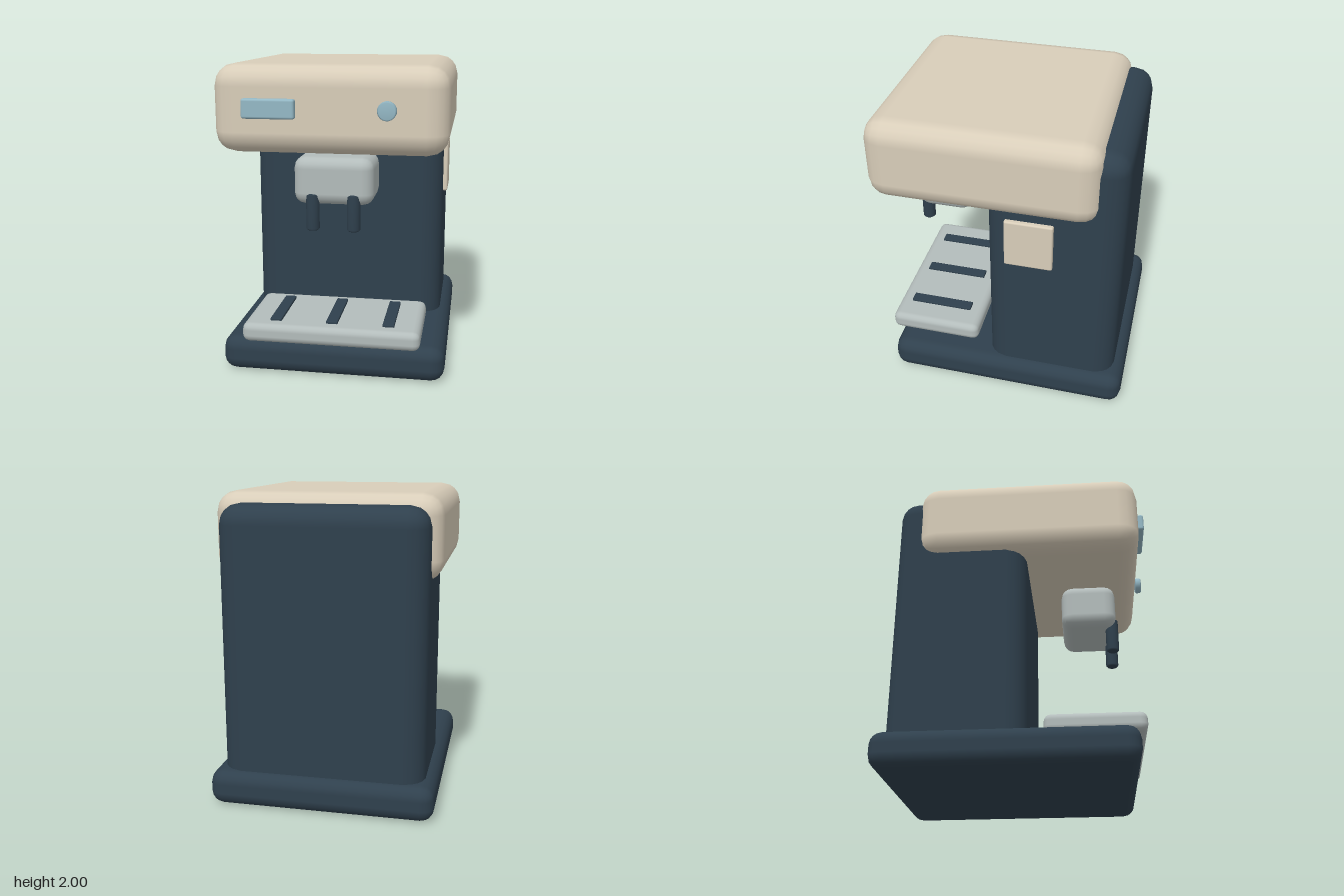
import * as THREE from 'three';
import { RoundedBoxGeometry } from 'three/addons/geometries/RoundedBoxGeometry.js';

const mat = (name, color) => {
  const m = new THREE.MeshStandardMaterial({ color });
  m.name = name;
  return m;
};

export function createModel() {
  const group = new THREE.Group();
  const navy = mat('navy', 0x2f404d);
  const cream = mat('cream', 0xd8cdb9);
  const steel = mat('steel', 0xb3bcbb);
  const blue = mat('pale blue', 0x94b8c5);

  const add = (name, geometry, material) => {
    const mesh = new THREE.Mesh(geometry, material);
    mesh.name = name;
    group.add(mesh);
    return mesh;
  };

  // Rounded box from its limits on each axis
  const box = (name, material, [x0, x1], [y0, y1], [z0, z1], radius, segments = 2) =>
    add(name, new RoundedBoxGeometry(x1 - x0, y1 - y0, z1 - z0, segments, radius), material)
      .position.set((x0 + x1) / 2, (y0 + y1) / 2, (z0 + z1) / 2);

  // Upright rod with bevelled ends, centred on its origin
  const rod = (radius, height, bevel, sides) => {
    const h = height / 2;
    const points = [[0, -h], [radius - bevel, -h], [radius, -h + bevel],
      [radius, h - bevel], [radius - bevel, h], [0, h]];
    return new THREE.LatheGeometry(points.map(([x, y]) => new THREE.Vector2(x, y)), sides);
  };

  // Main housing
  box('base', navy, [-0.725, 0.725], [0, 0.23], [-0.88, 0.74], 0.085);
  box('body', navy, [-0.655, 0.655], [0.04, 1.93], [-0.81, 0.06], 0.13);
  box('head', cream, [-0.72, 0.72], [1.455, 2], [-0.66, 0.81], 0.135);
  box('sidePanel', cream, [0.625, 0.685], [1.085, 1.42], [-0.38, -0.07], 0.012);

  // Brewing unit with two spouts
  box('brewUnit', steel, [-0.255, 0.255], [1.115, 1.42], [0.275, 0.645], 0.075);
  for (const x of [-0.13, 0.13]) {
    add('spout', rod(0.043, 0.235, 0.01, 16), navy).position.set(x, 1.072, 0.617);
  }

  // Drip tray with slots
  box('dripTray', steel, [-0.572, 0.572], [0.23, 0.355], [0.16, 0.79], 0.045);
  for (const x of [-0.365, 0, 0.365]) {
    box('traySlot', navy, [x - 0.038, x + 0.038], [0.345, 0.37], [0.26, 0.7], 0.006, 1);
  }

  // Controls on the front of the head
  box('display', blue, [-0.515, -0.19], [1.68, 1.8], [0.8, 0.855], 0.015);
  const knob = add('knob', rod(0.057, 0.045, 0.008, 24), blue);
  knob.rotation.x = Math.PI / 2;
  knob.position.set(0.36, 1.742, 0.853);

  return group;
}
